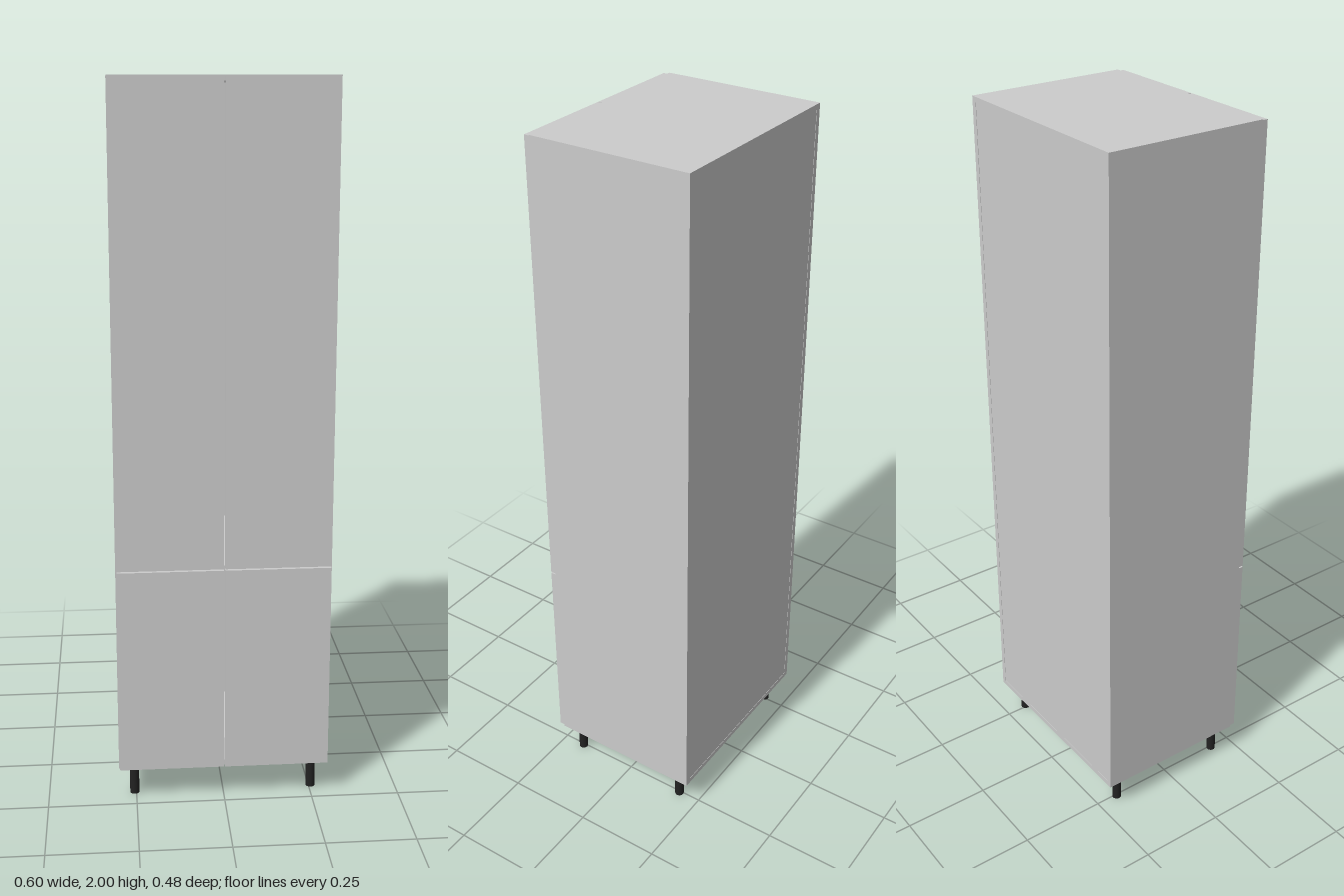
import * as THREE from 'three';

export function createModel() {
  const model = new THREE.Group();
  const grey = new THREE.MeshStandardMaterial({ color: 0xcccccc });
  const black = new THREE.MeshStandardMaterial({ color: 0x222222 });

  // Overall cabinet limits
  const halfW = 0.299, bottom = 0.096, top = 2, back = -0.238, front = 0.22;
  const panel = 0.015, split = 0.69;

  // Box given by its limits on each axis
  function board(name, x0, x1, y0, y1, z0, z1) {
    const mesh = new THREE.Mesh(new THREE.BoxGeometry(x1 - x0, y1 - y0, z1 - z0), grey);
    mesh.position.set((x0 + x1) / 2, (y0 + y1) / 2, (z0 + z1) / 2);
    mesh.name = name;
    model.add(mesh);
  }

  // Carcass: sides, horizontal boards and back
  const inner = halfW - panel;
  board('leftSide', inner, halfW, bottom, top, back, front);
  board('rightSide', -halfW, -inner, bottom, top, back, front);
  board('bottomPanel', -inner, inner, bottom, bottom + panel, back, front);
  board('topPanel', -inner, inner, top - panel, top, back, front);
  board('fixedShelf', -inner, inner, split - panel / 2, split + panel / 2, back + 0.006, front);
  board('backPanel', -inner, inner, bottom + panel, top - panel, back + 0.001, back + 0.006);

  // Four doors with narrow gaps between them
  const gap = 0.002, doorFront = 0.237;
  for (const [row, y0, y1] of [['lower', bottom + gap, split - gap], ['upper', split + gap, top - 0.003]]) {
    board(row + 'LeftDoor', gap, halfW - 0.003, y0, y1, front + 0.001, doorFront);
    board(row + 'RightDoor', -halfW + 0.003, -gap, y0, y1, front + 0.001, doorFront);
  }

  // Round legs with a slim mounting collar
  const legGeometry = new THREE.CylinderGeometry(0.0132, 0.0132, bottom, 24);
  const collarGeometry = new THREE.CylinderGeometry(0.0145, 0.0145, 0.008, 24);
  for (const x of [-0.255, 0.255]) {
    for (const z of [-0.184, 0.181]) {
      const leg = new THREE.Group();
      leg.name = (z > 0 ? 'front' : 'back') + (x > 0 ? 'Left' : 'Right') + 'Leg';
      const post = new THREE.Mesh(legGeometry, black);
      post.name = 'post';
      post.position.y = bottom / 2;
      const collar = new THREE.Mesh(collarGeometry, black);
      collar.name = 'collar';
      collar.position.y = bottom - 0.004;
      leg.add(post, collar);
      leg.position.set(x, 0, z);
      model.add(leg);
    }
  }
  return model;
}
